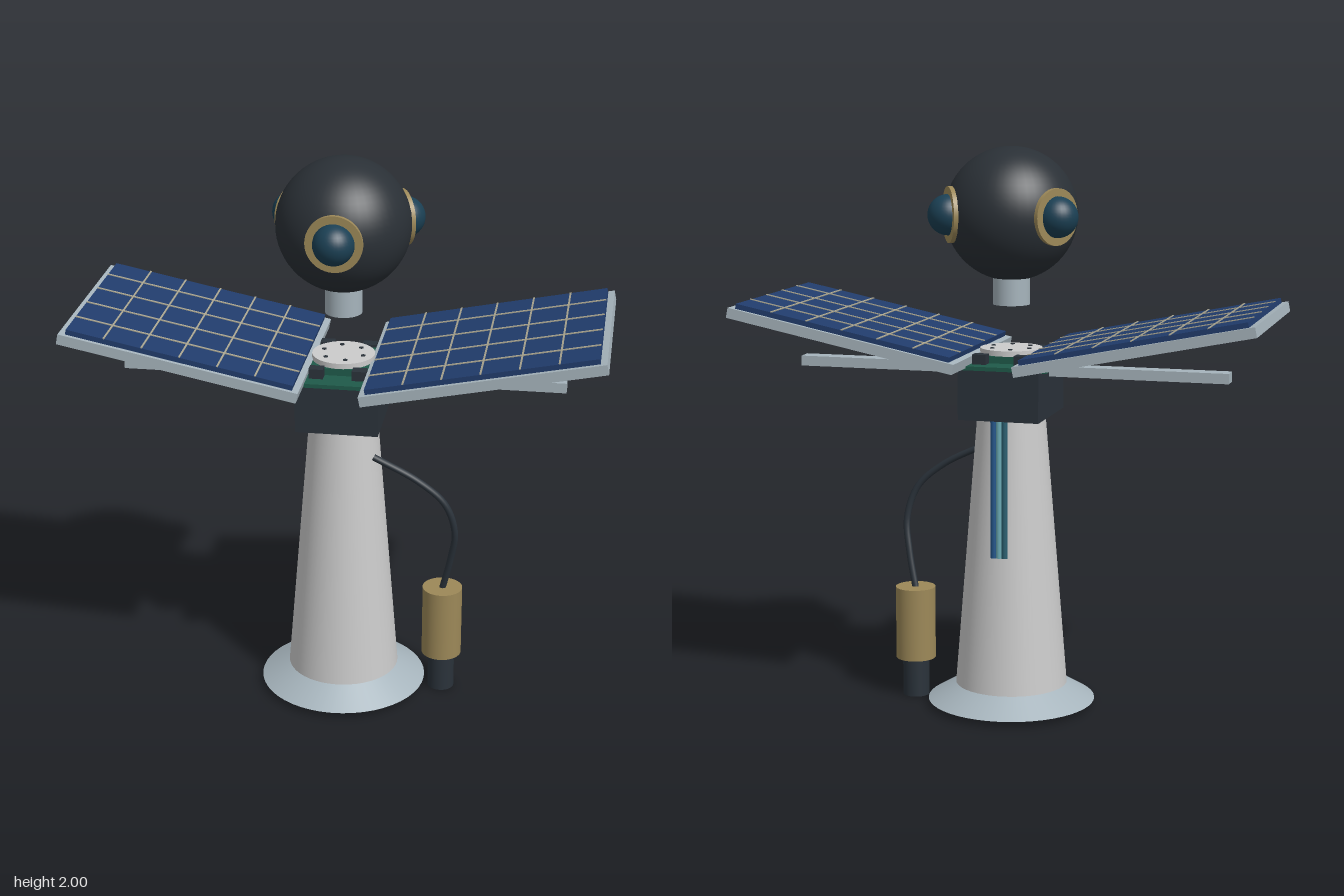
import * as THREE from 'three';

const mat = (color) => new THREE.MeshStandardMaterial({ color });
const M = {
  tower: mat(0xd4d8d8), metal: mat(0xa6b4bc), dark: mat(0x2a323a), head: mat(0x2a3036),
  lens: mat(0x1b4054), brass: mat(0x9c8858), cell: mat(0x213c6c), grid: mat(0xa8a490),
  board: mat(0x1f5a4a), white: mat(0xe4e6e4), blue: mat(0x24568a), aqua: mat(0x6aaab4), teal: mat(0x2a5f70),
};

function add(parent, name, geometry, material, x = 0, y = 0, z = 0) {
  const mesh = new THREE.Mesh(geometry, material);
  mesh.name = name;
  mesh.position.set(x, y, z);
  parent.add(mesh);
  return mesh;
}
const box = (w, h, d) => new THREE.BoxGeometry(w, h, d);
// Cylinder placed by its bottom and top heights
function column(parent, name, rTop, rBottom, y0, y1, material, x = 0, z = 0, sides = 48) {
  return add(parent, name, new THREE.CylinderGeometry(rTop, rBottom, y1 - y0, sides), material, x, (y0 + y1) / 2, z);
}

// Framed solar panel with a grid of cells, lying flat around its own centre
function solarPanel(name) {
  const panel = new THREE.Group();
  panel.name = name;
  const w = 0.79, d = 0.69;
  add(panel, 'panelFrame', box(0.835, 0.036, 0.72), M.metal);
  add(panel, 'panelCells', box(w, 0.018, d), M.cell, 0, 0.027);
  for (let i = 1; i < 6; i++) add(panel, 'gridLineAcross', box(0.006, 0.004, d), M.grid, -w / 2 + (i * w) / 6, 0.037);
  for (let i = 1; i < 5; i++) add(panel, 'gridLineAlong', box(w, 0.004, 0.008), M.grid, 0, 0.037, -0.365 + i * 0.146);
  return panel;
}

// Camera eye facing +z: flat bezel with a bulging lens
function eye() {
  const g = new THREE.Group();
  g.name = 'eye';
  add(g, 'bezel', new THREE.CylinderGeometry(0.098, 0.098, 0.024, 40), M.brass, 0, 0, 0.214).rotation.x = Math.PI / 2;
  add(g, 'lens', new THREE.SphereGeometry(0.071, 32, 20), M.lens, 0, 0, 0.226);
  return g;
}

export function createModel() {
  const model = new THREE.Group();
  model.name = 'sensorStation';

  // Foot and tapered tower
  column(model, 'footFlange', 0.2, 0.3, 0.02, 0.08, M.metal);
  column(model, 'tower', 0.12, 0.2, 0.08, 1.07, M.tower);

  // Electronics box and the bar that carries the panels
  add(model, 'electronicsBox', box(0.29, 0.18, 0.345), M.dark, 0, 1.15, 0);
  add(model, 'supportBar', box(1.56, 0.036, 0.06), M.metal, 0, 1.222, 0);

  // Circuit board with chips and a round sensor plate
  const board = new THREE.Group();
  board.name = 'circuitBoard';
  model.add(board);
  add(board, 'boardPlate', box(0.36, 0.014, 0.4), M.board, 0, 1.247, 0);
  add(board, 'boardRiser', box(0.22, 0.026, 0.22), M.board, 0, 1.266, 0);
  column(board, 'sensorPlate', 0.11, 0.11, 1.278, 1.298, M.white);
  for (const sx of [-1, 1]) for (const sz of [-1, 1]) {
    add(board, 'chip', box(0.05, 0.035, 0.04), M.dark, sx * 0.075, 1.271, sz * 0.13);
  }
  for (let i = 0; i < 6; i++) {
    const a = (i * Math.PI) / 3 + 0.3;
    column(board, 'sensorDot', 0.008, 0.008, 1.29, 1.301, M.dark, 0.075 * Math.cos(a), 0.075 * Math.sin(a), 12);
  }

  // Two upswept solar panels
  for (const side of [1, -1]) {
    const panel = solarPanel(side > 0 ? 'leftSolarPanel' : 'rightSolarPanel');
    panel.position.set(side * 0.514, 1.348, 0);
    panel.rotation.z = side * 0.2;
    model.add(panel);
  }

  // Round head on a short neck, with three eyes at equal angles
  column(model, 'neck', 0.065, 0.065, 1.45, 1.56, M.metal);
  const head = new THREE.Group();
  head.name = 'head';
  head.position.y = 1.767;
  model.add(head);
  add(head, 'headSphere', new THREE.SphereGeometry(0.233, 48, 32), M.head);
  for (let i = 0; i < 3; i++) {
    const e = eye();
    e.rotation.y = (i * Math.PI * 2) / 3;
    head.add(e);
  }

  // Hanging probe and its cable
  column(model, 'probeBody', 0.072, 0.072, 0.14, 0.405, M.brass, 0.363);
  column(model, 'probeTip', 0.048, 0.048, 0, 0.14, M.dark, 0.363);
  const path = new THREE.CatmullRomCurve3([
    [0.115, 0.932, 0.06], [0.275, 0.85, 0.063], [0.37, 0.765, 0.056],
    [0.407, 0.65, 0.042], [0.392, 0.53, 0.02], [0.363, 0.4, 0],
  ].map((p) => new THREE.Vector3(...p)));
  add(model, 'probeCable', new THREE.TubeGeometry(path, 48, 0.012, 10), M.dark);

  // Three thin tubes running down the back of the tower
  [M.teal, M.aqua, M.blue].forEach((m, i) => {
    column(model, 'backTube', 0.011, 0.011, 0.572, 1.07, m, (i - 1) * 0.02, -0.159, 12);
  });

  return model;
}
